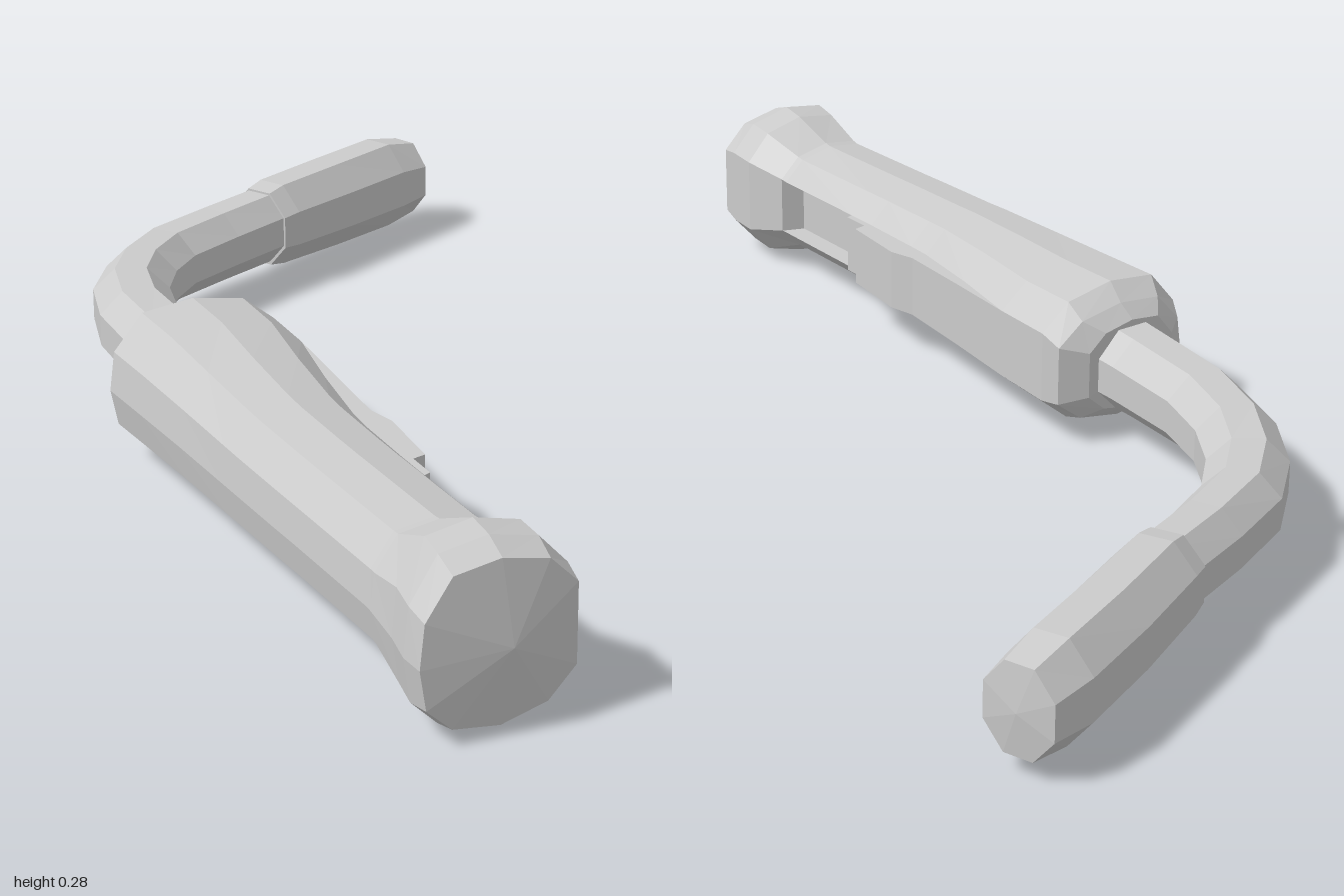
import * as THREE from 'three';

const material = new THREE.MeshStandardMaterial({ color: 0xcccccc, flatShading: true });

// Skin a series of equal-length rings and close both ends with a fan
function loft(name, rings, bulge = [0, 0]) {
  const out = [];
  const tri = (...pts) => pts.forEach((p) => out.push(p.x, p.y, p.z));
  const n = rings[0].length;
  const middle = (ring) => ring.reduce((s, p) => s.add(p), new THREE.Vector3()).divideScalar(n);
  for (let i = 0; i < rings.length - 1; i++) {
    for (let j = 0; j < n; j++) {
      const k = (j + 1) % n;
      const a = rings[i][j], b = rings[i][k], c = rings[i + 1][k], d = rings[i + 1][j];
      tri(a, d, b);
      tri(b, d, c);
    }
  }
  const first = rings[0], last = rings[rings.length - 1];
  const m0 = middle(first), m1 = middle(last);
  const axis = m1.clone().sub(m0).normalize();
  m0.addScaledVector(axis, -bulge[0]);
  m1.addScaledVector(axis, bulge[1]);
  for (let j = 0; j < n; j++) {
    const k = (j + 1) % n;
    tri(m0, first[j], first[k]);
    tri(m1, last[k], last[j]);
  }
  const geometry = new THREE.BufferGeometry();
  geometry.setAttribute('position', new THREE.Float32BufferAttribute(out, 3));
  geometry.computeVertexNormals();
  const mesh = new THREE.Mesh(geometry, material);
  mesh.name = name;
  return mesh;
}

// Handle section in unit coordinates; the third value marks the slot/trigger floor
const SECTION = [
  [0.98, 0.25, 0], [0.98, 0.25, 1], [0.98, 0.75, 1], [0.98, 0.75, 0],
  [0.8, 0.93, 0], [0.5, 1, 0], [0.2, 0.96, 0], [0.03, 0.72, 0],
  [0, 0.45, 0], [0.04, 0.2, 0], [0.2, 0.05, 0], [0.5, 0, 0], [0.8, 0.07, 0],
];

// z, left x, right x, bottom y, top y, floor depth (negative stands proud)
const HANDLE = [
  [0.975, -0.525, -0.275, 0.015, 0.265, 0],
  [0.93, -0.525, -0.265, 0.002, 0.28, 0],
  [0.87, -0.51, -0.26, 0.002, 0.278, 0],
  [0.79, -0.5, -0.283, 0.035, 0.245, 0],
  [0.775, -0.498, -0.283, 0.036, 0.243, 0.04],
  [0.55, -0.497, -0.277, 0.036, 0.245, 0.04],
  [0.545, -0.497, -0.277, 0.036, 0.245, -0.012],
  [0.49, -0.497, -0.275, 0.035, 0.246, -0.012],
  [0.485, -0.497, -0.275, 0.035, 0.246, -0.035],
  [0.35, -0.496, -0.268, 0.033, 0.248, -0.045],
  [0.3, -0.496, -0.263, 0.032, 0.25, -0.03],
  [0.15, -0.495, -0.235, 0.028, 0.255, -0.018],
  [0, -0.495, -0.2, 0.022, 0.26, 0],
  [-0.12, -0.495, -0.192, 0.018, 0.262, 0],
  [-0.155, -0.475, -0.2, 0.03, 0.235, 0],
  [-0.178, -0.44, -0.25, 0.05, 0.21, 0],
];

function handleRing([z, x0, x1, y0, y1, depth]) {
  return SECTION.map(([u, v, floor]) => new THREE.Vector3(
    x0 + (x1 - x0) * u - depth * floor,
    y0 + (y1 - y0) * v,
    z,
  ));
}

// Octagonal rings set square to a path; rows are x, y, z, half width, half height
function sweep(name, rows, bulge) {
  const centres = rows.map(([x, y, z]) => new THREE.Vector3(x, y, z));
  const up = new THREE.Vector3(0, 1, 0);
  const rings = rows.map(([, , , w, h], i) => {
    const from = centres[Math.max(0, i - 1)];
    const to = centres[Math.min(rows.length - 1, i + 1)];
    const side = to.clone().sub(from).setY(0).normalize().cross(up);
    return Array.from({ length: 8 }, (_, j) => {
      const a = ((j + 0.5) / 8) * Math.PI * 2;
      return centres[i].clone()
        .addScaledVector(side, Math.cos(a) * w * 1.06)
        .addScaledVector(up, Math.sin(a) * h * 1.06);
    });
  });
  return loft(name, rings, bulge);
}

export function createModel() {
  const model = new THREE.Group();
  model.name = 'bentTorch';

  // Handle with flared butt, side slot and trigger
  model.add(loft('handle', HANDLE.map(handleRing), [0.02, 0.002]));

  // Bent neck
  model.add(sweep('neck', [
    [-0.347, 0.128, -0.13, 0.075, 0.075],
    [-0.343, 0.125, -0.22, 0.072, 0.072],
    [-0.328, 0.122, -0.38, 0.07, 0.069],
    [-0.29, 0.118, -0.5, 0.069, 0.067],
    [-0.227, 0.114, -0.598, 0.067, 0.066],
    [-0.145, 0.112, -0.673, 0.065, 0.066],
    [-0.02, 0.112, -0.73, 0.062, 0.067],
    [0.13, 0.115, -0.788, 0.06, 0.068],
  ], [0, 0]));

  // Nozzle sleeve
  model.add(sweep('nozzle', [
    [0.095, 0.113, -0.774, 0.064, 0.073],
    [0.13, 0.113, -0.79, 0.068, 0.08],
    [0.28, 0.108, -0.858, 0.07, 0.084],
    [0.43, 0.106, -0.922, 0.069, 0.086],
    [0.503, 0.104, -0.945, 0.06, 0.073],
  ], [0, 0.008]));

  return model;
}
